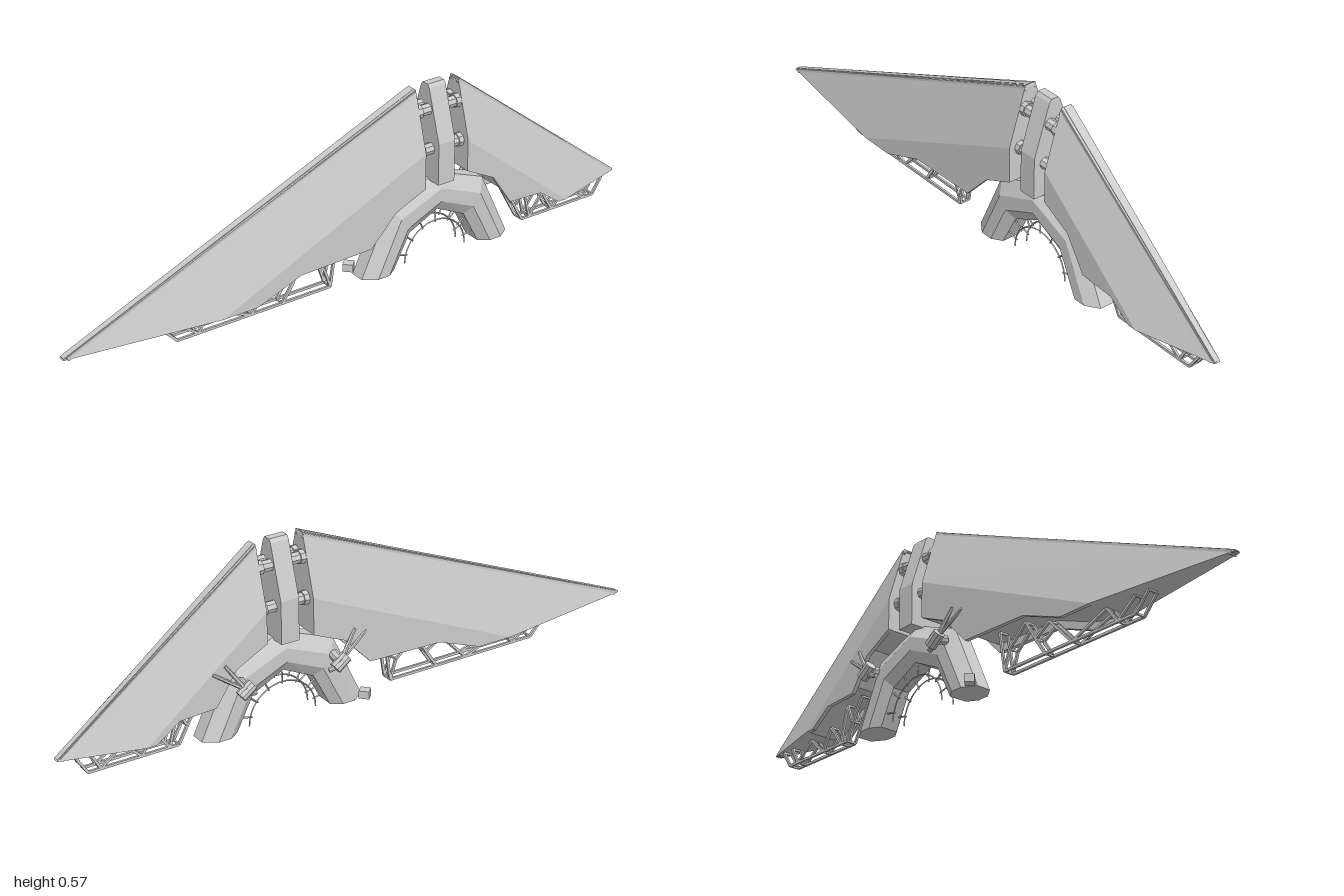
import * as THREE from 'three';

const grey = new THREE.MeshStandardMaterial({ color: 0xcccccc, flatShading: true, side: THREE.DoubleSide });
const V = (x, y, z) => new THREE.Vector3(x, y, z);
const MID = -0.275; // z of the arch centre

function add(parent, name, geometry) {
  const m = new THREE.Mesh(geometry, grey);
  m.name = name;
  parent.add(m);
  return m;
}

// Geometry from a list of quads / triangles of Vector3
function faces(list) {
  const p = [];
  for (const f of list)
    for (let i = 1; i < f.length - 1; i++) for (const v of [f[0], f[i], f[i + 1]]) p.push(v.x, v.y, v.z);
  const g = new THREE.BufferGeometry();
  g.setAttribute('position', new THREE.Float32BufferAttribute(p, 3));
  g.computeVertexNormals();
  return g;
}

// Straight square bar between two points (w across, h up)
function bar(parent, name, a, b, w, h = w) {
  const m = add(parent, name, new THREE.BoxGeometry(w, h, a.distanceTo(b)));
  m.position.copy(a).add(b).multiplyScalar(0.5);
  m.lookAt(b);
  return m;
}

// Round rod between two points
function rod(parent, name, a, b, r, sides = 6, r2 = r) {
  const m = add(parent, name, new THREE.CylinderGeometry(r2, r, a.distanceTo(b), sides));
  m.position.copy(a).add(b).multiplyScalar(0.5);
  m.quaternion.setFromUnitVectors(V(0, 1, 0), b.clone().sub(a).normalize());
  return m;
}

// Wing: points are [z, y]; lower runs from the crease start along the underside to the inner end
function wing(name, { tip, top, crease, lower }) {
  const g = new THREE.Group();
  g.name = name;
  const W = 0.074, T = 0.018;
  const dir = Math.sign(tip[0] - top[0]);
  const list = [];
  const push = (f, flip) => list.push(flip ? f.slice().reverse() : f);
  const outline = [...lower, crease];
  const tris = THREE.ShapeUtils.triangulateShape(outline.map(p => new THREE.Vector2(...p)), []);
  const ccw = THREE.ShapeUtils.isClockWise(outline.map(p => new THREE.Vector2(...p)));
  for (const s of [-1, 1]) {
    const at = (p, w) => V(s * w, p[1], p[0]);
    // flat lower side
    for (const t of tris) push(t.map(i => at(outline[i], W)), (s > 0) !== ccw);
    // slanted upper side
    const flip = s * dir < 0;
    push([at(tip, 0.01), at(lower[0], W), at(crease, W)], flip);
    push([at(tip, 0.01), at(crease, W), at(top, T)], flip);
  }
  const across = (p, q, wp, wq) => push([V(-wp, p[1], p[0]), V(wp, p[1], p[0]), V(wq, q[1], q[0]), V(-wq, q[1], q[0])], dir < 0);
  across(top, tip, T, 0.01);
  across(tip, lower[0], 0.01, W);
  across(lower[lower.length - 1], crease, W, W);
  across(crease, top, W, T);
  // underside: narrow rim around a shallow recess
  const n = lower.length - 1;
  for (let i = 0; i < n; i++) {
    const p = lower[i], q = lower[i + 1];
    const dp = i === 0 ? 0 : 0.025, dq = i + 1 === n ? 0 : 0.025;
    const R = W - 0.013;
    for (const s of [-1, 1]) {
      const a = V(s * R, p[1], p[0]), b = V(s * R, q[1], q[0]);
      push([V(s * W, p[1], p[0]), V(s * W, q[1], q[0]), b, a], s * dir < 0);
      push([a, b, V(s * R, q[1] + dq, q[0]), V(s * R, p[1] + dp, p[0])], s * dir < 0);
    }
    across([p[0], p[1] + dp], [q[0], q[1] + dq], R, R);
  }
  add(g, 'hull', faces(list));
  // ridge: two rails and a centre strip
  const a = V(0, top[1] - 0.004, top[0]), b = V(0, tip[1] + 0.001, tip[0] - dir * 0.004);
  bar(g, 'ridgeStrip', a, b, 0.018, 0.009);
  for (const s of [-1, 1])
    bar(g, 'ridgeRail', a.clone().add(V(s * 0.018, -0.006, 0)), b.clone().add(V(s * 0.009, 0, -dir * 0.01)), 0.006, 0.014);
  return g;
}

// Landing frame below a wing: two mirrored trusses joined by crossbars
function truss(name, chain, webs) {
  const g = new THREE.Group();
  g.name = name;
  for (const x of [-0.016, 0.016]) {
    for (const line of [chain, webs])
      for (let i = 0; i < line.length - 1; i++)
        bar(g, 'strut', V(x, line[i][1], line[i][0]), V(x, line[i + 1][1], line[i + 1][0]), 0.007, 0.008);
  }
  for (const [z, y] of [...chain, ...webs]) bar(g, 'crossbar', V(-0.016, y, z), V(0.016, y, z), 0.006);
  return g;
}

// Arch: octagonal section swept between an outer and an inner polyline
function arch() {
  const half = [[0, 0, 0.115, 0], [0.1, 0.215, 0.172, 0.11]];
  const st = half.map(([a, b, c, d]) => [-a, b, -c, d]);
  st.push([MID, 0.282, MID, 0.16]);
  for (const [a, b, c, d] of [...half].reverse()) st.push([2 * MID + a, b, 2 * MID + c, d]);
  const sec = [[0, -0.024], [0, 0.024], [0.36, 0.052], [0.72, 0.052], [1, 0.03], [1, -0.03], [0.72, -0.052], [0.36, -0.052]];
  const rings = st.map(([oz, oy, iz, iy]) => sec.map(([t, x]) => V(x, oy + (iy - oy) * t, oz + (iz - oz) * t)));
  const list = [];
  for (let i = 0; i < rings.length - 1; i++)
    for (let j = 0; j < 8; j++) {
      const k = (j + 1) % 8;
      list.push([rings[i][j], rings[i][k], rings[i + 1][k], rings[i + 1][j]]);
    }
  list.push([...rings[0]].reverse(), rings[rings.length - 1]);
  return faces(list);
}

// Side turret: drum on two arms, hanging from the right flank
function turret(name, dir) {
  const g = new THREE.Group();
  g.name = name;
  const z = MID + dir * 0.16;
  const c = V(-0.088, 0.165, z);
  rod(g, 'drum', V(-0.09, 0.15, z - 0.02), V(-0.09, 0.18, z + 0.02), 0.019, 10);
  rod(g, 'mount', V(-0.1, 0.165, z), V(-0.05, 0.175, z), 0.016, 8);
  rod(g, 'barrel', c.clone().add(V(0, -0.01, 0)), c.clone().add(V(0.008, -0.022, -dir * 0.035)), 0.008, 8);
  rod(g, 'arm', c, V(-0.074, 0.252, z + dir * 0.06), 0.008, 6, 0.005);
  rod(g, 'arm', c, V(-0.072, 0.235, z + dir * 0.1), 0.006, 6, 0.005);
  return g;
}

export function createModel() {
  const model = new THREE.Group();
  model.name = 'wingedArch';
  const body = new THREE.Group();
  body.name = 'body';
  body.position.x = 0.016;
  model.add(body);

  body.add(wing('frontWing', {
    tip: [1, 0.07], top: [-0.197, 0.572], crease: [-0.197, 0.385],
    lower: [[0.52, 0.066], [0.4, 0.066], [0.25, 0.122], [0, 0.128], [-0.09, 0.222], [-0.197, 0.268]],
  }));
  body.add(wing('backWing', {
    tip: [-1, 0.07], top: [-0.353, 0.572], crease: [-0.353, 0.385],
    lower: [[-0.75, 0.066], [-0.72, 0.066], [-0.645, 0.12], [-0.525, 0.126], [-0.455, 0.23], [-0.353, 0.283]],
  }));

  body.add(truss('frontLandingFrame',
    [[0.69, 0.066], [0.64, 0.012], [0.11, 0.012], [0.09, 0.14]],
    [[0.64, 0.066], [0.57, 0.012], [0.53, 0.066], [0.39, 0.012], [0.3, 0.105], [0.24, 0.07], [0.28, 0.012], [0.2, 0.135], [0.13, 0.075], [0.11, 0.012]]));
  body.add(truss('backLandingFrame',
    [[-0.945, 0.066], [-0.91, 0.012], [-0.62, 0.012], [-0.55, 0.14]],
    [[-0.9, 0.066], [-0.87, 0.012], [-0.8, 0.066], [-0.74, 0.012], [-0.7, 0.08], [-0.65, 0.012], [-0.62, 0.13], [-0.595, 0.07]]));

  // Upright slab between the wings
  const slab = new THREE.Shape([[-0.072, 0.265], [0.072, 0.265], [0.072, 0.4], [0.02, 0.565], [0.012, 0.575], [-0.012, 0.575], [-0.02, 0.565], [-0.072, 0.4]]
    .map(p => new THREE.Vector2(...p)));
  add(body, 'uprightSlab', new THREE.ExtrudeGeometry(slab, { depth: 0.06, bevelEnabled: false })).position.z = MID - 0.03;

  // Couplings from the slab to both wings
  for (const [y, x] of [[0.498, 0.018], [0.375, 0.034]])
    for (const s of [-1, 1]) {
      rod(body, 'coupling', V(s * x, y, -0.19), V(s * x, y, -0.36), 0.018, 8);
      for (const d of [-1, 1]) rod(body, 'couplingCollar', V(s * x, y, MID + d * 0.078), V(s * x, y, MID + d * 0.062), 0.022, 8);
    }

  add(body, 'arch', arch());

  // Thin hoops with short spikes inside the arch
  for (const x of [-0.022, 0.022]) {
    const hoop = add(body, 'hoop', new THREE.TorusGeometry(0.114, 0.0025, 4, 24, Math.PI));
    hoop.rotation.y = Math.PI / 2;
    hoop.position.set(x, 0.004, MID);
    for (let i = 0; i < 7; i++) {
      const a = Math.PI * (0.08 + 0.14 * i), c = Math.cos(a), s = Math.sin(a);
      rod(body, 'hoopSpike', V(x, 0.004 + s * 0.108, MID + c * 0.108), V(x, 0.004 + s * 0.145, MID + c * 0.145), 0.003, 4);
    }
  }

  // Foot plate on the front leg
  bar(body, 'footPlate', V(-0.05, 0.013, -0.02), V(-0.05, 0.013, 0.012), 0.03, 0.025);

  body.add(turret('frontTurret', 1), turret('backTurret', -1));
  return model;
}
